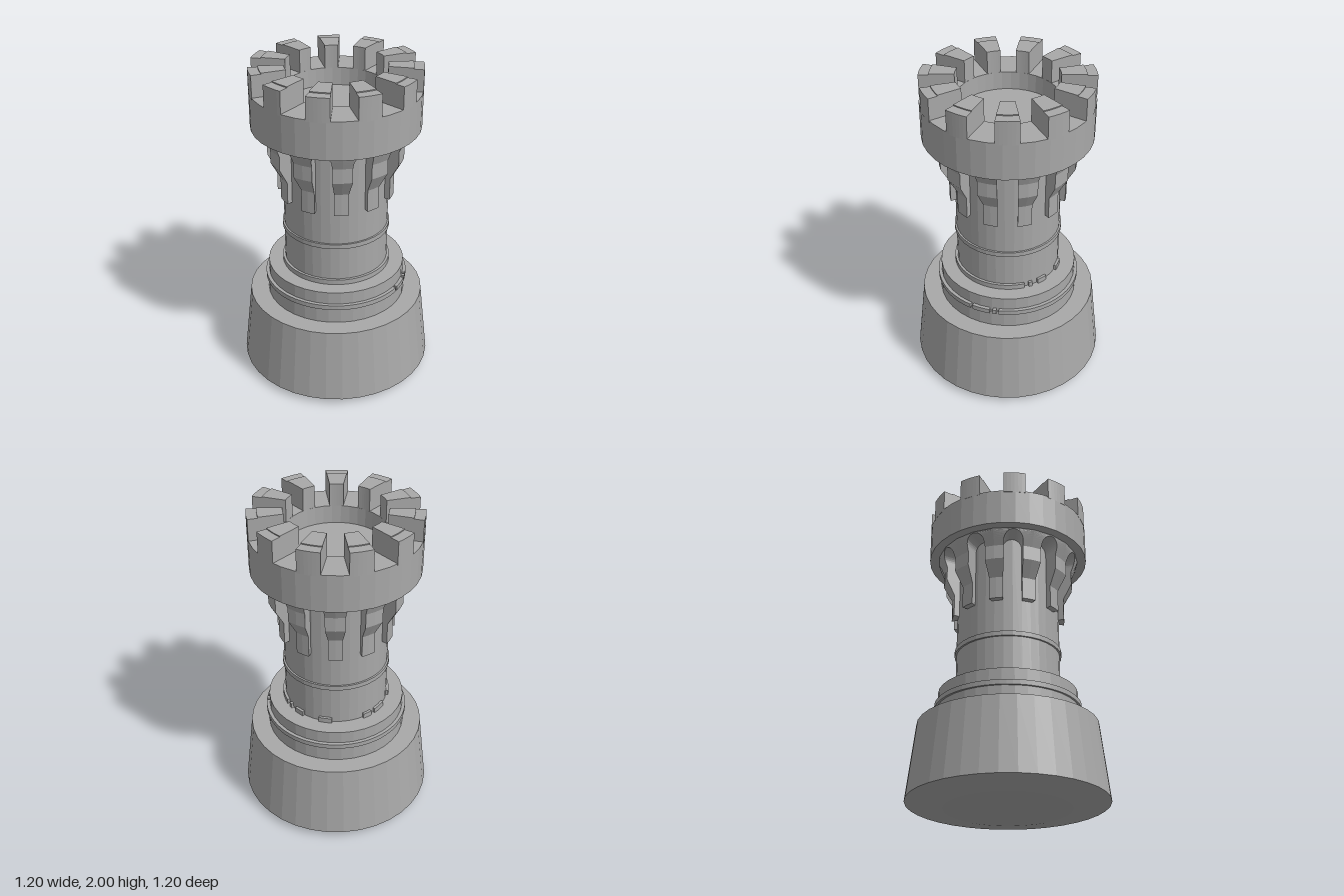
import * as THREE from 'three';

const COUNT = 11;
const STEP = (Math.PI * 2) / COUNT;
const SIDES = 36;
const rad = THREE.MathUtils.degToRad;
const MERLON_START = rad(95.1);

// Block bounded by two radii, two angles (from +x towards +z) and two heights
function sector(r0, r1, a0, a1, y0, y1) {
  const shape = new THREE.Shape();
  shape.absarc(0, 0, r1, a0, a1, false);
  shape.absarc(0, 0, r0, a1, a0, true);
  const curveSegments = Math.max(3, Math.ceil((a1 - a0) / (Math.PI * 2) * SIDES));
  const geo = new THREE.ExtrudeGeometry(shape, { depth: y1 - y0, bevelEnabled: false, curveSegments });
  return geo.rotateX(Math.PI / 2).translate(0, y1, 0);
}

// Bracket left standing between two round-headed slots
function corbelGeometry() {
  const profile = [[1.2, 0.355], [1.34, 0.355], [1.44, 0.41], [1.53, 0.41], [1.63, 0.45]];
  const radiusAt = (y) => {
    for (let i = 1; i < profile.length; i++) {
      const [y0, r0] = profile[i - 1], [y1, r1] = profile[i];
      if (y <= y1) return r0 + (r1 - r0) * (y - y0) / (y1 - y0);
    }
    return 0.45;
  };
  const half = 0.058, spring = 1.565, inner = 0.3;
  const heights = [1.2, 1.34, 1.44, 1.53, spring];
  for (let i = 1; i <= 8; i++) heights.push(spring + half * Math.sin(i * Math.PI / 16));
  heights.push(1.632);

  const rows = heights.map((y) => {
    const d = Math.max(0, y - spring);
    const w = Math.sqrt(Math.max(0, half * half - d * d));
    const R = radiusAt(y);
    const ai = Math.asin(w / inner), ao = Math.asin(w / R);
    return [[inner, ai], [R, ao], [R, STEP / 2], [R, STEP - ao], [inner, STEP - ai]]
      .map(([r, a]) => [r * Math.cos(a), y, r * Math.sin(a)]);
  });

  const pos = [];
  const tri = (a, b, c) => pos.push(...a, ...b, ...c);
  for (let i = 0; i < rows.length - 1; i++) {
    for (let j = 0; j < 4; j++) {
      const a = rows[i][j], b = rows[i][j + 1], c = rows[i + 1][j], d = rows[i + 1][j + 1];
      tri(b, a, c);
      tri(b, c, d);
    }
  }
  // Underside
  const [in0, out0, mid, out1, in1] = rows[0];
  tri(mid, out1, in1);
  tri(mid, in1, in0);
  tri(mid, in0, out0);
  const geo = new THREE.BufferGeometry();
  geo.setAttribute('position', new THREE.Float32BufferAttribute(pos, 3));
  geo.computeVertexNormals();
  return geo;
}

export function createModel() {
  const model = new THREE.Group();
  model.name = 'rookTower';
  const stone = new THREE.MeshStandardMaterial({ color: 0xa8a8a8, flatShading: true });
  stone.name = 'grey stone';

  const add = (name, geo, parent = model) => {
    const mesh = new THREE.Mesh(geo, stone);
    mesh.name = name;
    parent.add(mesh);
    return mesh;
  };
  const group = (name) => {
    const g = new THREE.Group();
    g.name = name;
    model.add(g);
    return g;
  };
  const lathe = (name, points) =>
    add(name, new THREE.LatheGeometry(points.map(([r, y]) => new THREE.Vector2(r, y)), SIDES));

  // Turned solids, each profile running from bottom to top
  lathe('base', [[0, 0], [0.38, 0.003], [0.6, 0.035], [0.547, 0.5], [0.3, 0.5]]);
  lathe('plinth', [[0.433, 0.5], [0.433, 0.61], [0.425, 0.61], [0.425, 0.71], [0.3, 0.71]]);
  lathe('shaft', [[0.32, 0.7], [0.32, 1.64]]);
  lathe('shaftBand', [[0.315, 0.96], [0.331, 0.96], [0.331, 0.99], [0.315, 0.99]]);
  lathe('battlementCollar', [[0.3, 1.63], [0.505, 1.63], [0.505, 1.86], [0.3, 1.86], [0.297, 1.75], [0, 1.75]]);

  // Broken mouldings, as start and end angles in degrees
  const plinthRing = group('plinthRing');
  for (const [a, b] of [[28, 364], [6, 9], [11.5, 26]]) {
    add('plinthRingPiece', sector(0.41, 0.445, rad(a), rad(b), 0.6, 0.63), plinthRing);
  }
  const shaftFoot = group('shaftFootRing');
  for (const [a, b] of [[339, 554], [213, 229], [234, 244], [279, 293], [312, 323], [330, 334]]) {
    add('shaftFootPiece', sector(0.305, 0.335, rad(a), rad(b), 0.705, 0.742), shaftFoot);
  }

  // Corbels alternate with merlons around the crown
  const corbels = group('corbels');
  const merlons = group('merlons');
  const corbelGeo = corbelGeometry();
  const halfWidth = rad(7.7);
  for (let i = 0; i < COUNT; i++) {
    const a = MERLON_START + i * STEP;
    add('corbel', corbelGeo, corbels).rotation.y = -a;
    add('merlonInner', sector(0.3, 0.445, a - halfWidth, a + halfWidth, 1.85, 2), merlons);
    add('merlonOuter', sector(0.445, 0.505, a - halfWidth, a + halfWidth, 1.85, 1.994), merlons);
  }
  return model;
}
